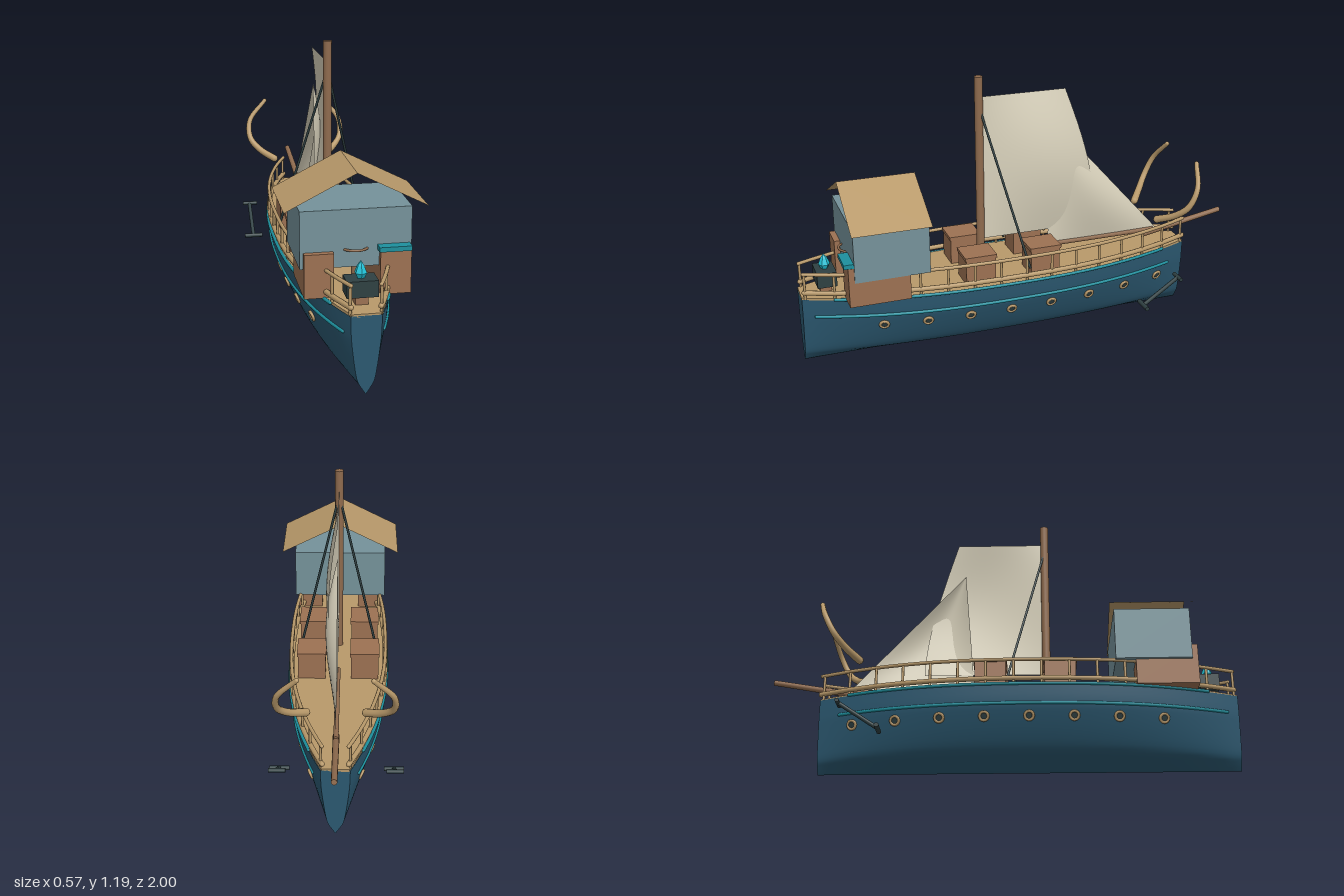
import * as THREE from 'three';
import { ParametricGeometry } from 'three/addons/geometries/ParametricGeometry.js';

const V = (x, y, z) => new THREE.Vector3(x, y, z);
const mat = (name, color, side = THREE.FrontSide) => {
  const m = new THREE.MeshStandardMaterial({ color, side });
  m.name = name;
  return m;
};

export function createModel() {
  const root = new THREE.Group();
  root.name = 'sailingShip';

  const hullBlue = mat('hullBlue', 0x2b5870, THREE.DoubleSide);
  const tan = mat('tanWood', 0xb8996a, THREE.DoubleSide);
  const brown = mat('brownWood', 0x9c7152);
  const mastWood = mat('mastWood', 0x8f6b4e);
  const houseBlue = mat('houseBlue', 0x75929a);
  const canvas = mat('sailCanvas', 0xd9d2bc, THREE.DoubleSide);
  const iron = mat('darkIron', 0x2f4042);
  const teal = mat('tealTrim', 0x1d8f9d);
  const cyan = mat('crystalCyan', 0x22c3d8);

  const add = (name, geo, m, x = 0, y = 0, z = 0, parent = root) => {
    const mesh = new THREE.Mesh(geo, m);
    mesh.name = name;
    mesh.position.set(x, y, z);
    parent.add(mesh);
    return mesh;
  };
  // box given by its extents
  const box = (name, m, x0, x1, y0, y1, z0, z1) =>
    add(name, new THREE.BoxGeometry(x1 - x0, y1 - y0, z1 - z0), m, (x0 + x1) / 2, (y0 + y1) / 2, (z0 + z1) / 2);
  // round rod between two points
  const rod = (name, m, a, b, r, r2 = r, sides = 10) => {
    const mesh = add(name, new THREE.CylinderGeometry(r2, r, a.distanceTo(b), sides), m);
    mesh.position.copy(a).lerp(b, 0.5);
    mesh.quaternion.setFromUnitVectors(V(0, 1, 0), b.clone().sub(a).normalize());
    return mesh;
  };
  const surface = (fn, nu, nv) => {
    const g = new ParametricGeometry(fn, nu, nv);
    g.computeVertexNormals();
    return g;
  };

  // Hull: half breadth along z, and a half section (fraction of breadth, height)
  const Z0 = -0.78, Z1 = 1;
  const breadth = z => 0.22 - 0.16 * Math.pow(Math.abs((z - 0.11) / 0.89), 2.4);
  const section = new THREE.SplineCurve([[0, 0], [0.3, 0.028], [0.55, 0.058], [0.73, 0.12],
    [0.89, 0.2], [0.95, 0.245], [0.985, 0.315]].map(p => new THREE.Vector2(...p)));
  const hullPoint = (t, z) => {
    const p = section.getPoint(Math.abs(t));
    return V(Math.sign(t) * p.x * breadth(z), Math.max(0, p.y), z);
  };
  const fracAt = y => {
    let t = 0;
    while (t < 1 && section.getPoint(t).y < y) t += 0.01;
    return section.getPoint(Math.min(t, 1)).x;
  };
  add('hull', surface((u, v, p) => p.copy(hullPoint(v * 2 - 1, Z0 + u * (Z1 - Z0))), 48, 40), hullBlue);
  for (const z of [Z0, Z1]) {
    const pts = [];
    for (let i = -20; i <= 20; i++) {
      const p = hullPoint(i / 20, z);
      pts.push(new THREE.Vector2(p.x, p.y));
    }
    add('hullEnd', new THREE.ShapeGeometry(new THREE.Shape(pts)), hullBlue, 0, 0, z);
  }

  // Deck
  const outline = [];
  for (let i = 0; i <= 40; i++) {
    const z = Z0 + (i / 40) * (Z1 - Z0);
    outline.push(new THREE.Vector2(breadth(z) - 0.005, -z));
  }
  const deckShape = new THREE.Shape([...outline, ...outline.map(p => new THREE.Vector2(-p.x, p.y)).reverse()]);
  const deckGeo = new THREE.ExtrudeGeometry(deckShape, { depth: 0.012, bevelEnabled: false });
  deckGeo.rotateX(-Math.PI / 2);
  add('deck', deckGeo, tan, 0, 0.31, 0);

  // Rails, posts, trim strips and portholes on both sides
  const sideTube = (name, m, s, y, r, za, zb, f, off) => {
    const pts = [];
    for (let i = 0; i <= 20; i++) {
      const z = za + (i / 20) * (zb - za);
      pts.push(V(s * (breadth(z) * f + off), y, z));
    }
    add(name, new THREE.TubeGeometry(new THREE.CatmullRomCurve3(pts), 48, r, 8), m);
    for (const p of [pts[0], pts[20]]) add(name + 'End', new THREE.SphereGeometry(r, 8, 6), m, p.x, p.y, p.z * 0.998);
  };
  for (const s of [-1, 1]) {
    sideTube('lowerRail', tan, s, 0.345, 0.011, Z0, Z1 - 0.01, 1, -0.008);
    sideTube('topRail', tan, s, 0.43, 0.008, Z0, Z1 - 0.01, 1, -0.008);
    sideTube('upperTrim', teal, s, 0.318, 0.007, -0.65, 0.87, 1, 0);
    sideTube('lowerTrim', teal, s, 0.236, 0.007, -0.69, 0.95, fracAt(0.236), 0.001);
    for (let i = 0; i < 16; i++) {
      const z = Z0 + 0.015 + (i / 15) * 1.75;
      const x = s * (breadth(z) - 0.008);
      rod('railPost', tan, V(x, 0.315, z), V(x, 0.43, z), 0.006, 0.006, 8);
    }
    for (let i = 0; i < 8; i++) {
      const z = 0.674 - i * 0.1863;
      const f = fracAt(0.185);
      const slope = (breadth(z + 0.01) - breadth(z - 0.01)) * f / 0.02;
      const port = new THREE.Group();
      port.name = 'porthole';
      port.position.set(s * (breadth(z) * f + 0.003), 0.185, z);
      port.lookAt(port.position.clone().add(V(s, -0.38, -slope)));
      root.add(port);
      add('portholeRing', new THREE.TorusGeometry(0.018, 0.006, 8, 16), tan, 0, 0, 0, port);
      add('portholeGlass', new THREE.CircleGeometry(0.018, 16), iron, 0, 0, 0.002, port);
    }

    // Anchor hanging beside the hull
    rod('anchorShank', iron, V(s * 0.243, 0.117, -0.5), V(s * 0.243, 0.23, -0.668), 0.009);
    rod('anchorStock', iron, V(s * 0.205, 0.23, -0.668), V(s * 0.275, 0.23, -0.668), 0.009);
    rod('anchorFluke', iron, V(s * 0.2, 0.117, -0.5), V(s * 0.285, 0.117, -0.5), 0.01);

    // Tapered curved horn at the stern
    const curve = new THREE.CatmullRomCurve3([V(0.12, 0.475, -0.61), V(0.185, 0.51, -0.665), V(0.227, 0.56, -0.71),
      V(0.224, 0.64, -0.75), V(0.145, 0.732, -0.782)].map(p => p.setX(p.x * s)));
    const horn = new THREE.TubeGeometry(curve, 24, 0.017, 10);
    const pos = horn.attributes.position;
    for (let i = 0; i < pos.count; i++) {
      const t = Math.floor(i / 11) / 24;
      const c = curve.getPointAt(t);
      const p = V(0, 0, 0).fromBufferAttribute(pos, i).sub(c).multiplyScalar(1 - 0.4 * t).add(c);
      pos.setXYZ(i, p.x, p.y, p.z);
    }
    add('horn', horn, tan);
    add('hornRoot', new THREE.SphereGeometry(0.017, 10, 8), tan, s * 0.12, 0.475, -0.61);
    add('hornTip', new THREE.SphereGeometry(0.0102, 10, 8), tan, s * 0.145, 0.732, -0.782);

    // Shroud line and deck crates
    rod('shroud', iron, V(s * 0.008, 1.04, 0.188), V(s * 0.18, 0.36, 0.025), 0.0055, 0.0055, 6);
    for (const z of [-0.047, 0.248]) {
      const [a, b] = s > 0 ? [0.053, 0.182] : [-0.182, -0.053];
      box('crate', brown, a + 0.004, b - 0.004, 0.32, 0.435, z - 0.066, z + 0.066);
      box('crateLid', brown, a, b, 0.435, 0.45, z - 0.071, z + 0.071);
    }
  }

  // Deckhouse with an open gable roof
  box('houseWalls', houseBlue, -0.215, 0.215, 0.43, 0.658, 0.48, 0.8);
  for (const s of [-1, 1])
    add('roofSlope', surface((u, v, p) => p.set(s * 0.275 * u, 0.8 - 0.14 * u, 0.48 + 0.335 * v), 1, 1), tan);
  box('rightCabinet', brown, -0.202, -0.088, 0.32, 0.495, 0.565, 0.825);
  box('leftCabinet', brown, 0.09, 0.21, 0.32, 0.495, 0.565, 0.825);
  box('cabinetTop', teal, 0.082, 0.208, 0.495, 0.514, 0.7, 0.842);

  // Steering wheel
  const wheel = add('steeringWheel', new THREE.TorusGeometry(0.052, 0.005, 8, 24), mastWood, 0, 0.5, 0.77);
  wheel.rotation.x = Math.PI / 2;
  rod('wheelPost', mastWood, V(0, 0.32, 0.77), V(0, 0.5, 0.77), 0.012);

  // Crystal on its pedestal
  box('pedestalFoot', brown, -0.025, 0.025, 0.318, 0.355, 0.865, 0.915);
  box('pedestal', iron, -0.06, 0.06, 0.355, 0.42, 0.847, 0.93);
  const crystal = new THREE.LatheGeometry([[0.012, 0.415], [0.025, 0.44], [0.014, 0.468], [0, 0.488]]
    .map(p => new THREE.Vector2(...p)), 6).toNonIndexed();
  crystal.computeVertexNormals();
  add('crystal', crystal, cyan, 0, 0, 0.888);

  // Mast, bowsprit and boom
  rod('mast', mastWood, V(0, 0.315, 0.193), V(0, 1.19, 0.193), 0.018, 0.018, 16);
  rod('bowsprit', mastWood, V(0, 0.355, -0.6), V(0, 0.425, -0.998), 0.014, 0.012, 12);
  rod('boom', mastWood, V(0, 0.375, -0.12), V(0, 0.375, -0.65), 0.011);

  // Main sail bulging to one side
  add('mainSail', surface((u, v, p) => {
    const edge = -0.2 - 0.14 * Math.sin(v * Math.PI / 2);
    p.set(0.05 * Math.sin(Math.PI * v) * Math.sin(Math.PI * u * 0.75), 1.1 - 0.65 * v, 0.178 + (edge - 0.178) * u);
  }, 16, 16), canvas);

  // Triangular sail running down to the stern
  add('sternSail', surface((u, v, p) => {
    const za = -0.165 + 0.045 * v, zb = -0.165 - 0.505 * v;
    p.set(0.05 * Math.sin(Math.PI * v) * Math.sin(Math.PI * u), 0.94 - 0.565 * v, za + (zb - za) * u);
  }, 14, 14), canvas);

  return root;
}
